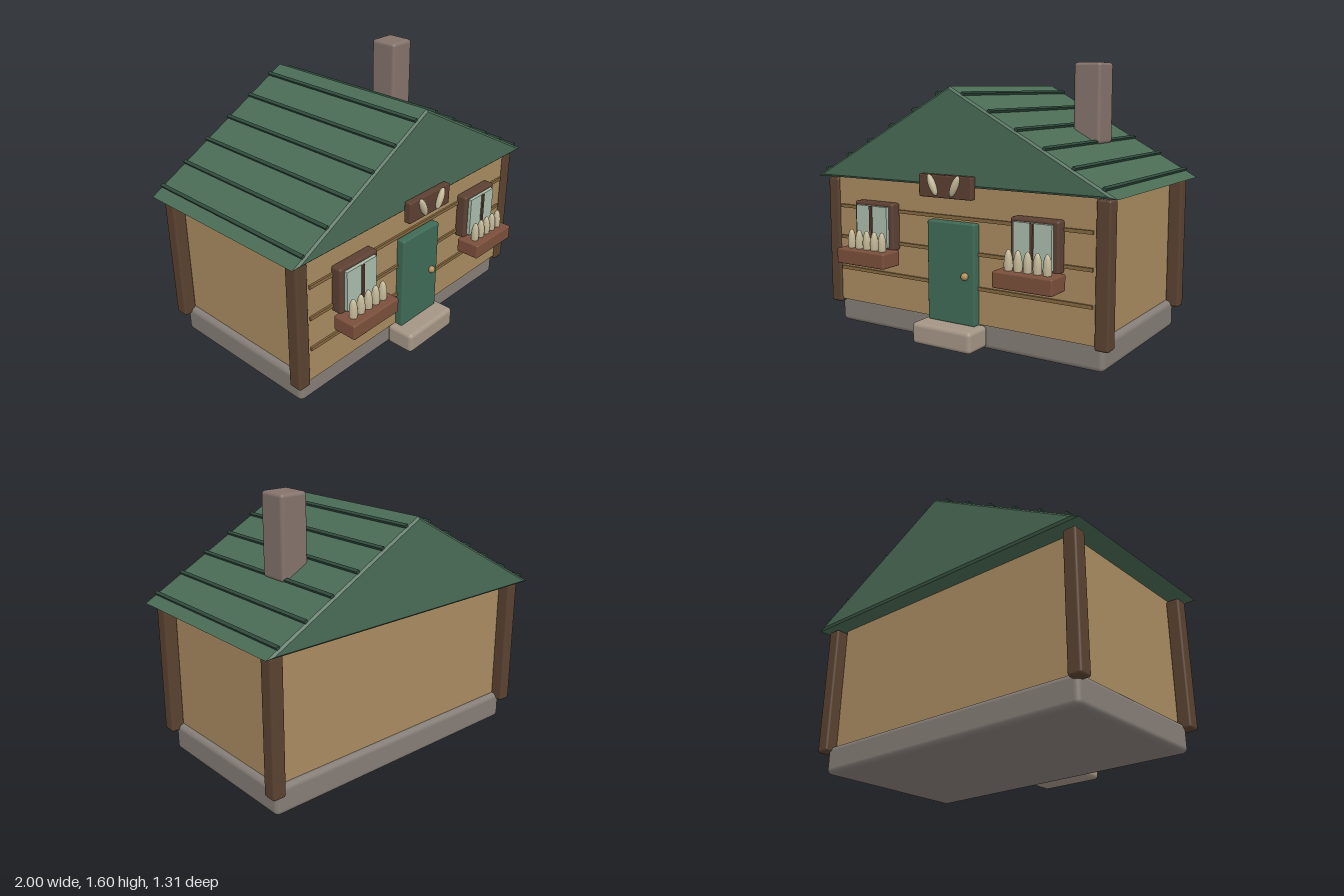
import * as THREE from 'three';
import { RoundedBoxGeometry } from 'three/addons/geometries/RoundedBoxGeometry.js';

const paint = (color) => new THREE.MeshStandardMaterial({ color });
const M = {
  stone: paint(0x857d77), step: paint(0xa39585), brick: paint(0x84736b),
  wall: paint(0xa98b60), plank: paint(0x86683f), timber: paint(0x5a4230),
  roof: paint(0x4a6b55), rib: paint(0x2f4a3b), door: paint(0x3f6b56),
  frame: paint(0x5c4032), glass: paint(0xa9bcab), planter: paint(0x7a4f3b),
  bud: paint(0xc2b797), brass: paint(0xb08d57),
};

export function createModel() {
  const house = new THREE.Group();
  house.name = 'cottage';

  const add = (name, geo, mat, x, y, z, parent = house) => {
    const mesh = new THREE.Mesh(geo, mat);
    mesh.name = name;
    mesh.position.set(x, y, z);
    parent.add(mesh);
    return mesh;
  };
  // Box given by its extents [min, max] on each axis; r rounds the edges
  const box = (name, mat, [x0, x1], [y0, y1], [z0, z1], r = 0, parent = house) => {
    const size = [x1 - x0, y1 - y0, z1 - z0];
    const geo = r ? new RoundedBoxGeometry(...size, 3, r) : new THREE.BoxGeometry(...size);
    return add(name, geo, mat, (x0 + x1) / 2, (y0 + y1) / 2, (z0 + z1) / 2, parent);
  };
  const ellipsoid = (name, mat, rx, ry, x, y, z, parent) => {
    const geo = new THREE.SphereGeometry(1, 20, 14).scale(rx, ry, rx);
    return add(name, geo, mat, x, y, z, parent);
  };

  // Base, walls and step
  box('foundation', M.stone, [-0.905, 0.905], [0, 0.165], [-0.57, 0.43], 0.03);
  box('walls', M.wall, [-0.87, 0.87], [0.15, 0.925], [-0.535, 0.46]);
  box('doorstep', M.step, [-0.2, 0.2], [0.02, 0.145], [0.435, 0.615], 0.025);

  // Corner posts
  for (const x of [-0.91, 0.91])
    for (const z of [-0.568, 0.432])
      box('cornerPost', M.timber, [x - 0.041, x + 0.041], [0.13, 0.91], [z - 0.042, z + 0.042], 0.014);

  // Plank seams across the front
  for (const y of [0.355, 0.548, 0.74])
    box('plankSeam', M.plank, [-0.855, 0.855], [y - 0.01, y + 0.01], [0.45, 0.472]);

  // Gabled roof: a triangular prism with chamfered ends
  const eave = 0.92, ridge = 1.465, slope = ridge - eave;
  const tri = new THREE.Shape([
    new THREE.Vector2(-1, eave), new THREE.Vector2(1, eave), new THREE.Vector2(0, ridge),
  ]);
  const roofGeo = new THREE.ExtrudeGeometry(tri, { depth: 3, steps: 3, bevelEnabled: false });
  const ringZ = [-0.655, -0.643, 0.503, 0.515];
  const inY = eave + slope / (1 + Math.hypot(1, slope));
  const p = roofGeo.attributes.position;
  for (let i = 0; i < p.count; i++) {
    const ring = Math.round(p.getZ(i));
    const s = ring === 0 || ring === 3 ? 0.955 : 1;
    p.setXYZ(i, p.getX(i) * s, inY + (p.getY(i) - inY) * s, ringZ[ring]);
  }
  roofGeo.computeVertexNormals();
  add('roof', roofGeo, M.roof, 0, 0, 0);

  // Ribs lying on both slopes
  const ribGeo = new THREE.BoxGeometry(0.02, 0.022, 1.15);
  for (const side of [-1, 1])
    for (let i = 0; i < 6; i++) {
      const x = 0.085 + i * 0.168;
      const rib = add('roofRib', ribGeo, M.rib, side * x, ridge - slope * x + 0.004, -0.07);
      rib.rotation.z = -side * Math.atan(slope);
    }

  box('chimney', M.brick, [0.44, 0.61], [1.135, 1.6], [-0.275, -0.097], 0.02);

  // Door and knob
  box('door', M.door, [-0.16, 0.16], [0.145, 0.72], [0.455, 0.51], 0.01);
  ellipsoid('doorKnob', M.brass, 0.022, 0.022, 0.1, 0.425, 0.515, house);

  // Windows with planters
  for (const side of [-1, 1]) {
    const win = new THREE.Group();
    win.name = side < 0 ? 'rightWindow' : 'leftWindow';
    win.position.x = side * 0.545;
    house.add(win);
    box('windowFrame', M.frame, [-0.145, 0.145], [0.51, 0.79], [0.455, 0.525], 0.014, win);
    box('windowPane', M.glass, [-0.115, 0.115], [0.53, 0.77], [0.515, 0.545], 0, win);
    box('windowMullion', M.frame, [-0.008, 0.008], [0.53, 0.77], [0.54, 0.556], 0, win);
    box('planter', M.planter, [-0.178, 0.178], [0.43, 0.52], [0.505, 0.653], 0.01, win);
    for (let i = -2; i <= 2; i++)
      ellipsoid('planterBud', M.bud, 0.024, 0.08, i * 0.058, 0.55, 0.588, win);
  }

  // Sign board with two leaning leaves
  box('signBoard', M.frame, [-0.177, 0.177], [0.858, 0.985], [0.515, 0.56], 0.008);
  for (const side of [-1, 1]) {
    const leaf = ellipsoid('signLeaf', M.bud, 0.021, 0.064, side * 0.075, 0.93, 0.57, house);
    leaf.rotation.z = -side * 0.42;
  }

  return house;
}
